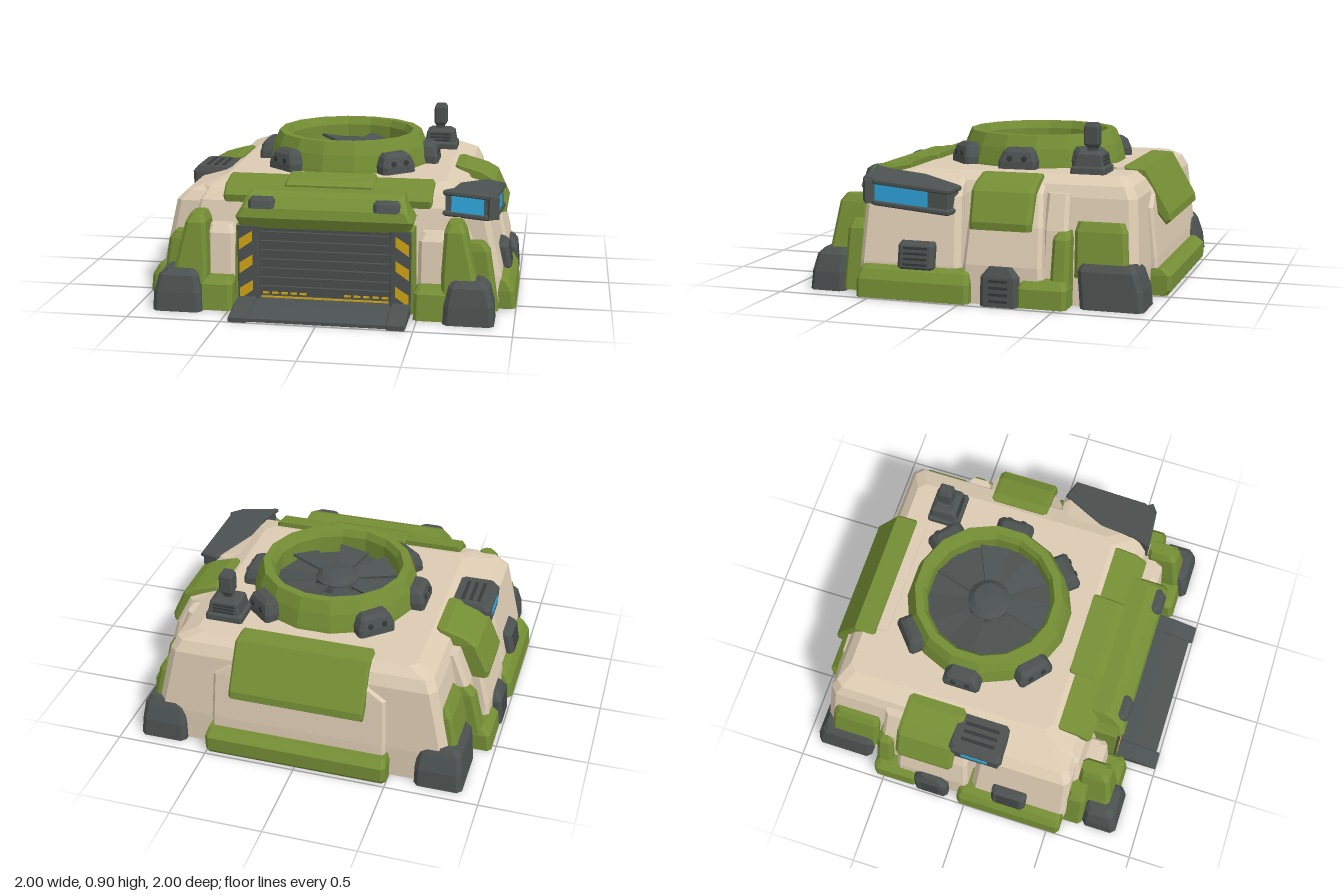
import * as THREE from 'three';

const paint = (name, color) => Object.assign(new THREE.MeshStandardMaterial({ color }), { name });

export function createModel() {
  const root = new THREE.Group();
  root.name = 'armouredHangar';
  const green = paint('olive green', 0x758e35), beige = paint('sand', 0xdccbb2);
  const dark = paint('gunmetal', 0x4c5251), black = paint('slot black', 0x363a3a);
  const yellow = paint('hazard yellow', 0xd0a412), blue = paint('glass blue', 0x2ea6dc);

  const add = (name, mat, geo, parent = root) => {
    const m = new THREE.Mesh(geo, mat);
    m.name = name;
    parent.add(m);
    return m;
  };
  const flat = (g) => {
    const f = g.index ? g.toNonIndexed() : g;
    f.computeVertexNormals();
    return f;
  };
  const box = (name, mat, w, h, d, x, y, z, parent) => {
    const m = add(name, mat, new THREE.BoxGeometry(w, h, d), parent);
    m.position.set(x, y, z);
    return m;
  };

  // Stacked chamfered rectangles; each ring is [y, x0, x1, z0, z1]
  const loft = (rings, c) => {
    const pts = [], idx = [], n = 8;
    for (const [y, x0, x1, z0, z1] of rings) {
      for (const [x, z] of [[x1, z1 - c], [x1, z0 + c], [x1 - c, z0], [x0 + c, z0],
        [x0, z0 + c], [x0, z1 - c], [x0 + c, z1], [x1 - c, z1]]) pts.push(x, y, z);
    }
    const top = (rings.length - 1) * n;
    for (let r = 0; r < top; r += n) {
      for (let j = 0; j < n; j++) {
        const a = r + j, b = r + (j + 1) % n;
        idx.push(a, b, b + n, a, b + n, a + n);
      }
    }
    for (let j = 1; j < n - 1; j++) idx.push(top, top + j, top + j + 1, 0, j + 1, j);
    const g = new THREE.BufferGeometry();
    g.setAttribute('position', new THREE.Float32BufferAttribute(pts, 3));
    g.setIndex(idx);
    return flat(g);
  };
  const part = (name, mat, rings, c = 0.02, parent = root) => add(name, mat, loft(rings, c), parent);
  const flip = (rings) => rings.map(([y, x0, x1, z0, z1]) => [y, -x1, -x0, z0, z1]);
  const pair = (name, mat, rings, c = 0.02) => {
    part(name + 'Left', mat, rings, c);
    part(name + 'Right', mat, flip(rings), c);
  };

  // Side profile of [z, y] points, extended from x0 to x1 with bevelled edges
  const prism = (name, mat, profile, x0, x1, b = 0.012) => {
    const g = new THREE.ExtrudeGeometry(new THREE.Shape(profile.map((p) => new THREE.Vector2(...p))), {
      depth: x1 - x0 - 2 * b, bevelSize: b, bevelThickness: b, bevelOffset: -b, bevelSegments: 1 });
    return add(name, mat, g.rotateY(-Math.PI / 2).translate(x1 - b, 0, 0));
  };

  // Hull
  part('hull', beige, [[0, -0.83, 0.83, -0.89, 0.67], [0.18, -0.81, 0.81, -0.89, 0.66], [0.54, -0.73, 0.73, -0.86, 0.58],
    [0.6, -0.7, 0.7, -0.83, 0.53], [0.64, -0.6, 0.6, -0.78, 0.39]], 0.04);
  pair('frontFlank', beige, [[0, 0.5, 0.93, 0.02, 0.58], [0.18, 0.5, 0.92, 0.02, 0.58], [0.53, 0.5, 0.84, 0.04, 0.57],
    [0.58, 0.5, 0.79, 0.05, 0.54], [0.63, 0.5, 0.61, 0.06, 0.4]], 0.03);
  pair('middleFlank', beige, [[0, 0.6, 0.94, -0.44, 0.01], [0.2, 0.6, 0.93, -0.42, 0], [0.4, 0.6, 0.88, -0.41, -0.01],
    [0.56, 0.6, 0.8, -0.39, -0.02], [0.61, 0.58, 0.68, -0.37, -0.03]]);
  pair('rearFlank', beige, [[0, 0.6, 0.89, -0.54, -0.4], [0.38, 0.6, 0.83, -0.53, -0.4], [0.56, 0.6, 0.76, -0.52, -0.4]]);

  // Green flank armour
  const cap = [[0.38, 0.7, 0.915, -0.36, -0.03], [0.42, 0.7, 0.92, -0.36, -0.03], [0.57, 0.64, 0.85, -0.36, -0.02],
    [0.605, 0.62, 0.79, -0.355, -0.02], [0.64, 0.62, 0.67, -0.35, -0.02]];
  part('flankCapLeft', green, cap);
  part('flankCapRight', green, flip(cap)).position.z = -0.06;
  pair('frontSkirt', green, [[0.004, 0.84, 1, -0.05, 0.57], [0.1, 0.8, 0.99, -0.05, 0.57], [0.15, 0.8, 0.96, -0.04, 0.56],
    [0.17, 0.8, 0.93, -0.03, 0.55]]);
  pair('rearSideSkirt', green, [[0.004, 0.84, 0.98, -0.56, -0.3], [0.1, 0.8, 0.97, -0.56, -0.3], [0.14, 0.8, 0.93, -0.54, -0.31]]);
  pair('rearStrip', green, [[0.004, 0.7, 0.95, -0.56, -0.46], [0.34, 0.7, 0.87, -0.55, -0.46], [0.38, 0.7, 0.83, -0.54, -0.47]]);
  pair('rearCornerArmour', green, [[0.15, 0.6, 0.86, -0.85, -0.57], [0.38, 0.6, 0.81, -0.83, -0.56], [0.425, 0.6, 0.785, -0.81, -0.57]]);
  pair('frontSidePanel', green, [[0.02, 0.7, 0.91, 0.55, 0.68], [0.34, 0.7, 0.86, 0.56, 0.67], [0.38, 0.7, 0.83, 0.57, 0.66]]);

  // Corner columns and feet
  pair('frontColumn', green, [[0.004, 0.62, 0.86, 0.6, 0.83], [0.25, 0.62, 0.79, 0.6, 0.8], [0.46, 0.63, 0.74, 0.6, 0.77],
    [0.5, 0.65, 0.72, 0.6, 0.74]]);
  pair('frontToe', green, [[0.004, 0.48, 0.66, 0.6, 0.84], [0.14, 0.48, 0.66, 0.6, 0.82], [0.17, 0.5, 0.64, 0.6, 0.79]]);
  pair('frontInset', beige, [[0, 0.49, 0.64, 0.56, 0.73], [0.39, 0.49, 0.64, 0.56, 0.7], [0.43, 0.51, 0.63, 0.56, 0.67]]);
  pair('frontFoot', dark, [[0, 0.635, 0.9, 0.68, 0.88], [0.1, 0.64, 0.895, 0.68, 0.87], [0.19, 0.66, 0.87, 0.68, 0.85],
    [0.22, 0.68, 0.84, 0.69, 0.82]], 0.025);
  pair('rearFoot', dark, [[0, 0.64, 0.9, -0.94, -0.61], [0.1, 0.64, 0.89, -0.93, -0.6], [0.19, 0.65, 0.88, -0.9, -0.59],
    [0.225, 0.69, 0.855, -0.88, -0.6]], 0.025);

  // Flank vents with slots
  pair('upperVent', dark, [[0.15, 0.8, 0.94, 0.15, 0.35], [0.17, 0.8, 0.965, 0.15, 0.35], [0.28, 0.8, 0.945, 0.15, 0.35],
    [0.3, 0.8, 0.92, 0.16, 0.34]]);
  pair('lowerVent', dark, [[0, 0.8, 0.99, -0.31, -0.11], [0.15, 0.8, 0.98, -0.31, -0.11], [0.2, 0.8, 0.96, -0.27, -0.15]]);
  for (const s of [1, -1]) {
    for (let i = 0; i < 4; i++) {
      box('upperVentSlot', black, 0.008, 0.012, 0.13, s * (0.962 - i * 0.005), 0.185 + i * 0.028, 0.25);
      box('lowerVentSlot', black, 0.008, 0.014, 0.1, s * (0.986 - i * 0.002), 0.03 + i * 0.034, -0.21);
    }
  }

  // Front gate: jambs, lintel, shutter, hazard pillars and ramp
  part('lintel', green, [[0.44, -0.45, 0.45, 0.5, 0.74], [0.5, -0.47, 0.47, 0.5, 0.77], [0.55, -0.44, 0.44, 0.5, 0.76],
    [0.605, -0.42, 0.42, 0.52, 0.71], [0.625, -0.41, 0.41, 0.54, 0.66]]);
  pair('jamb', green, [[0.004, 0.44, 0.485, 0.5, 0.74], [0.45, 0.44, 0.47, 0.5, 0.74]], 0.005);
  pair('hazardPillar', dark, [[0.004, 0.35, 0.46, 0.55, 0.755], [0.45, 0.35, 0.46, 0.55, 0.755]], 0.004);
  box('shutter', dark, 0.72, 0.47, 0.08, 0, 0.24, 0.645);
  for (let i = 0; i < 8; i++) box('shutterSlat', dark, 0.7, 0.046, 0.014, 0, 0.085 + i * 0.05, 0.69).rotation.x = 0.1;
  box('thresholdLine', yellow, 0.68, 0.008, 0.008, 0, 0.058, 0.725);
  for (const s of [1, -1]) {
    for (const y of [0.05, 0.19, 0.32]) {
      const stripe = new THREE.Shape([[0.38, 0.05], [0.38, 0.105], [0.45, 0.06], [0.45, 0]]
        .map(([x, h]) => new THREE.Vector2(s * x, y + h)));
      add('hazardStripe', yellow, new THREE.ExtrudeGeometry(stripe, { depth: 0.006, bevelEnabled: false })).position.z = 0.753;
    }
    for (let i = 0; i < 5; i++) box('thresholdDash', yellow, 0.035, 0.01, 0.008, s * (0.12 + i * 0.05), 0.073, 0.702);
    part('lintelLamp', dark, [[0.55, s * 0.33 - 0.07, s * 0.33 + 0.07, 0.69, 0.775], [0.59, s * 0.33 - 0.07, s * 0.33 + 0.07, 0.69, 0.76],
      [0.605, s * 0.33 - 0.055, s * 0.33 + 0.055, 0.69, 0.74]]);
    prism('rampRail', dark, [[0.74, 0], [1, 0], [1, 0.025], [0.86, 0.058], [0.74, 0.065]], s * 0.41 - 0.05, s * 0.41 + 0.05, 0.006);
  }
  prism('ramp', dark, [[0.67, 0], [0.98, 0], [0.98, 0.018], [0.85, 0.045], [0.67, 0.055]], -0.37, 0.37, 0.004);

  // Front roof armour
  const slope = [[0.42, 0.58], [0.6, 0.54], [0.61, 0.58], [0.55, 0.635], [0.42, 0.66]];
  prism('roofArmourRight', green, slope, -0.57, -0.235);
  prism('roofArmourLeft', green, slope, 0.225, 0.55);
  prism('roofArmourCentre', green, [[0.38, 0.6], [0.56, 0.56], [0.57, 0.635], [0.52, 0.655], [0.385, 0.67]], -0.245, 0.235);

  // Rear housing, hood and skirt
  part('rearHousing', beige, [[0, -0.48, 0.48, -0.93, -0.7], [0.2, -0.48, 0.48, -0.92, -0.7], [0.46, -0.47, 0.47, -0.89, -0.7],
    [0.52, -0.38, 0.38, -0.88, -0.66], [0.65, -0.33, 0.35, -0.82, -0.65]], 0.015);
  prism('rearHood', green, [[-0.71, 0.6], [-0.71, 0.66], [-0.83, 0.655], [-0.965, 0.42], [-0.97, 0.38], [-0.94, 0.355], [-0.82, 0.5]], -0.37, 0.36);
  part('rearSkirt', green, [[0.004, -0.5, 0.5, -0.98, -0.88], [0.03, -0.5, 0.5, -1, -0.8], [0.11, -0.5, 0.5, -1, -0.8],
    [0.145, -0.49, 0.49, -0.96, -0.8]]);

  // Roof fan
  const fan = new THREE.Group();
  fan.name = 'roofFan';
  fan.position.set(0, 0, -0.16);
  root.add(fan);
  const rim = [[0.47, 0.6], [0.46, 0.66], [0.44, 0.74], [0.41, 0.81], [0.365, 0.81], [0.345, 0.77], [0.345, 0.65]];
  add('fanRing', green, flat(new THREE.LatheGeometry(rim.map((p) => new THREE.Vector2(...p)), 16, Math.PI / 16)), fan);
  add('fanFloor', dark, new THREE.CircleGeometry(0.35, 24).rotateX(-Math.PI / 2).translate(0, 0.67, 0), fan);
  const blade = new THREE.Shape([[0.08, -0.03], [0.325, -0.085], [0.325, 0.085], [0.08, 0.03]].map((p) => new THREE.Vector2(...p)));
  for (let i = 0; i < 7; i++) {
    const m = add('fanBlade', dark, new THREE.ExtrudeGeometry(blade, { depth: 0.015, bevelEnabled: false })
      .rotateX(-Math.PI / 2 + 0.18), fan);
    m.position.y = 0.695;
    m.rotation.y = (i / 7) * Math.PI * 2 + 0.21;
  }
  const hub = [[0.12, 0.67], [0.12, 0.72], [0.085, 0.75], [0, 0.76]];
  add('fanHub', dark, flat(new THREE.LatheGeometry(hub.map((p) => new THREE.Vector2(...p)), 14)), fan);
  for (const degrees of [0, 49, 131, 180, 229, 311]) {
    const clamp = new THREE.Group();
    clamp.name = 'ringClamp';
    clamp.rotation.y = THREE.MathUtils.degToRad(degrees);
    fan.add(clamp);
    part('clampBody', dark, [[0.6, 0.4, 0.52, -0.105, 0.105], [0.68, 0.4, 0.515, -0.105, 0.105], [0.73, 0.4, 0.5, -0.085, 0.085],
      [0.75, 0.4, 0.475, -0.065, 0.065]], 0.015, clamp);
    for (const z of [-0.04, 0.04]) {
      add('clampBolt', black, new THREE.CylinderGeometry(0.016, 0.016, 0.012, 8).rotateZ(Math.PI / 2), clamp).position.set(0.51, 0.695, z);
    }
  }

  // Roof antenna
  part('antennaBase', dark, [[0.6, 0.385, 0.595, -0.665, -0.475], [0.67, 0.385, 0.59, -0.66, -0.475], [0.68, 0.4, 0.58, -0.65, -0.49],
    [0.74, 0.41, 0.57, -0.64, -0.5], [0.755, 0.43, 0.545, -0.62, -0.52]], 0.01);
  part('antennaMast', dark, [[0.74, 0.465, 0.505, -0.59, -0.55], [0.77, 0.46, 0.51, -0.6, -0.545], [0.79, 0.45, 0.525, -0.61, -0.53],
    [0.88, 0.45, 0.525, -0.61, -0.53], [0.9, 0.46, 0.515, -0.6, -0.54]], 0.008);
  for (let i = 0; i < 3; i++) box('antennaGrille', black, 0.12, 0.01, 0.172, 0.49, 0.69 + i * 0.018, -0.57).scale.z = 0.94 - i * 0.02;

  // Roof vent on the right shoulder
  part('shoulderVent', dark, [[0.48, -0.85, -0.63, -0.12, 0.18], [0.6, -0.855, -0.63, -0.12, 0.18], [0.63, -0.83, -0.64, -0.11, 0.17]]);
  for (const x of [-0.78, -0.735, -0.69]) box('shoulderSlot', black, 0.018, 0.006, 0.19, x, 0.631, 0.03);
  box('shoulderWindow', blue, 0.008, 0.035, 0.15, -0.855, 0.56, 0.03);

  // Wraparound window on the left shoulder, drooping outwards and rearwards
  const droop = (g) => {
    const p = g.attributes.position;
    for (let i = 0; i < p.count; i++) p.setY(i, p.getY(i) - (p.getX(i) - 0.62) * 0.11 - (0.58 - p.getZ(i)) * 0.07);
    return flat(g);
  };
  const plan = [[0.62, 0.59], [0.83, 0.57], [0.875, 0.5], [0.9, 0.09], [0.81, 0.06], [0.68, 0.3], [0.66, 0.5]];
  const slab = (name, y, h, grow) => add(name, dark, droop(new THREE.ExtrudeGeometry(
    new THREE.Shape(plan.map(([x, z]) => new THREE.Vector2(x, -z))),
    { depth: h - 0.016, bevelSize: 0.008, bevelOffset: grow - 0.008, bevelThickness: 0.008, bevelSegments: 1 })
    .rotateX(-Math.PI / 2).translate(0, y + 0.008, 0)));
  slab('windowFrame', 0.52, 0.11, 0);
  slab('windowBrow', 0.615, 0.03, 0.012);
  slab('windowSill', 0.505, 0.03, 0.012);
  add('windowPost', dark, droop(new THREE.BoxGeometry(0.06, 0.12, 0.08).rotateY(0.6).translate(0.852, 0.575, 0.53)));
  for (const [x0, z0, x1, z1] of [[0.65, 0.59, 0.82, 0.574], [0.877, 0.5, 0.894, 0.2]]) {
    const len = Math.hypot(x1 - x0, z1 - z0);
    add('windowPane', blue, droop(new THREE.BoxGeometry(len, 0.085, 0.009).rotateY(-Math.atan2(z1 - z0, x1 - x0))
      .translate((x0 + x1) / 2, 0.575, (z0 + z1) / 2)));
  }
  return root;
}
